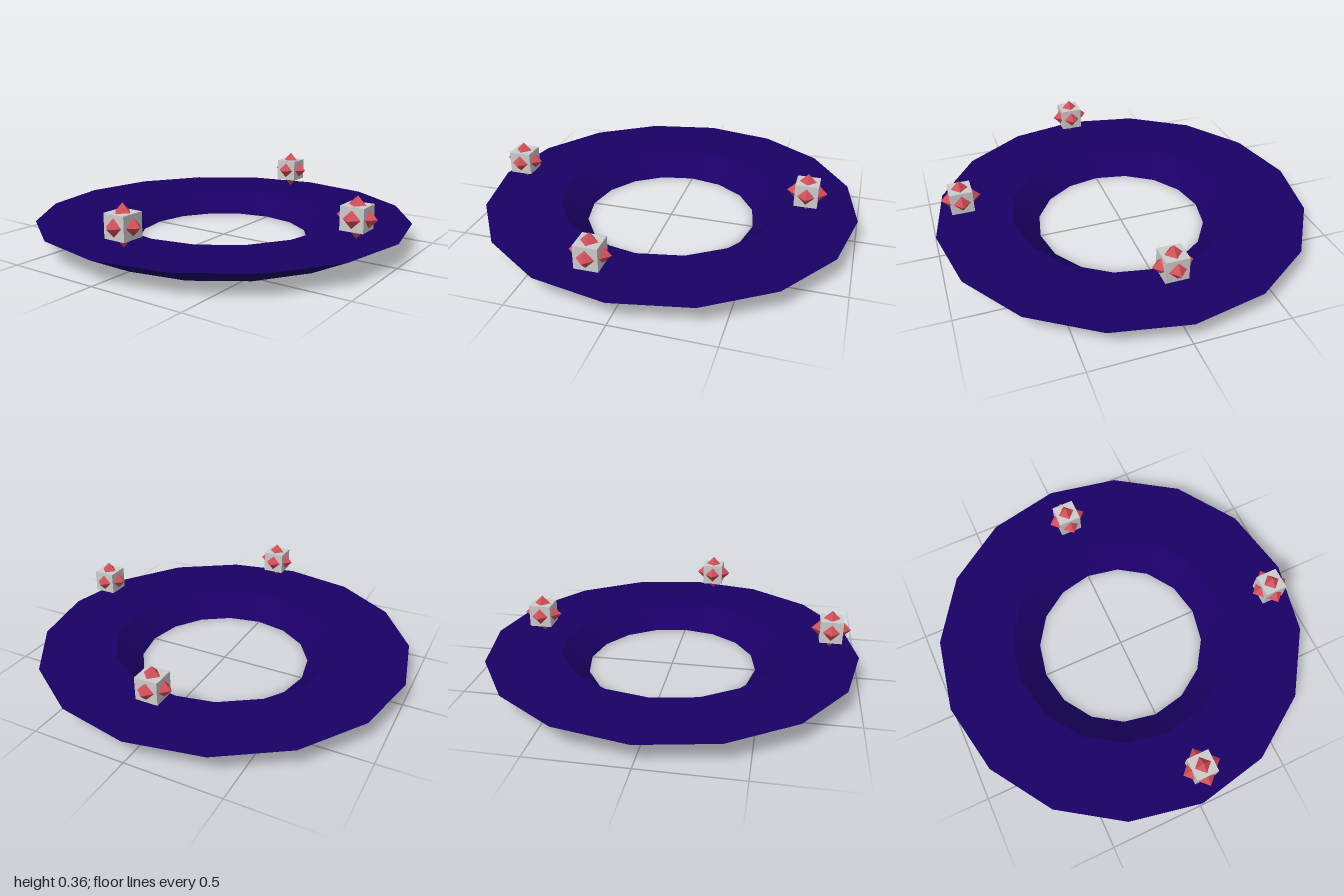
import * as THREE from 'three';
import { toCreasedNormals } from 'three/addons/utils/BufferGeometryUtils.js';

export function createModel() {
  const model = new THREE.Group();
  const blue = new THREE.MeshStandardMaterial({ color: 0x1a0066, side: THREE.DoubleSide });
  const red = new THREE.MeshStandardMaterial({ color: 0xd4505a, flatShading: true });
  const grey = new THREE.MeshStandardMaterial({ color: 0xcccccc, flatShading: true });

  // Sixteen-sided ring, open underneath: flat top, sloped outer and inner walls
  const profile = [[0.76, 0], [1, 0.12], [0.6, 0.12], [0.46, 0]]
    .map(([r, y]) => new THREE.Vector2(r, y));
  const ring = new THREE.Mesh(
    toCreasedNormals(new THREE.LatheGeometry(profile, 16), 0.42), blue);
  ring.name = 'ring';
  model.add(ring);

  // Floating gems: a cube with the points of an octahedron through its faces
  const cube = new THREE.BoxGeometry(0.118, 0.118, 0.118);
  const octahedron = new THREE.OctahedronGeometry(0.103);
  const spots = [[0, -0.73], [0.84, 0.125], [0.055, 0.845]];
  spots.forEach(([x, z], i) => {
    const gem = new THREE.Group();
    gem.name = `gem${i + 1}`;
    const core = new THREE.Mesh(cube, grey);
    core.name = 'gemCube';
    const points = new THREE.Mesh(octahedron, red);
    points.name = 'gemOctahedron';
    gem.add(core, points);
    gem.position.set(x, 0.253, z);
    model.add(gem);
  });
  return model;
}
